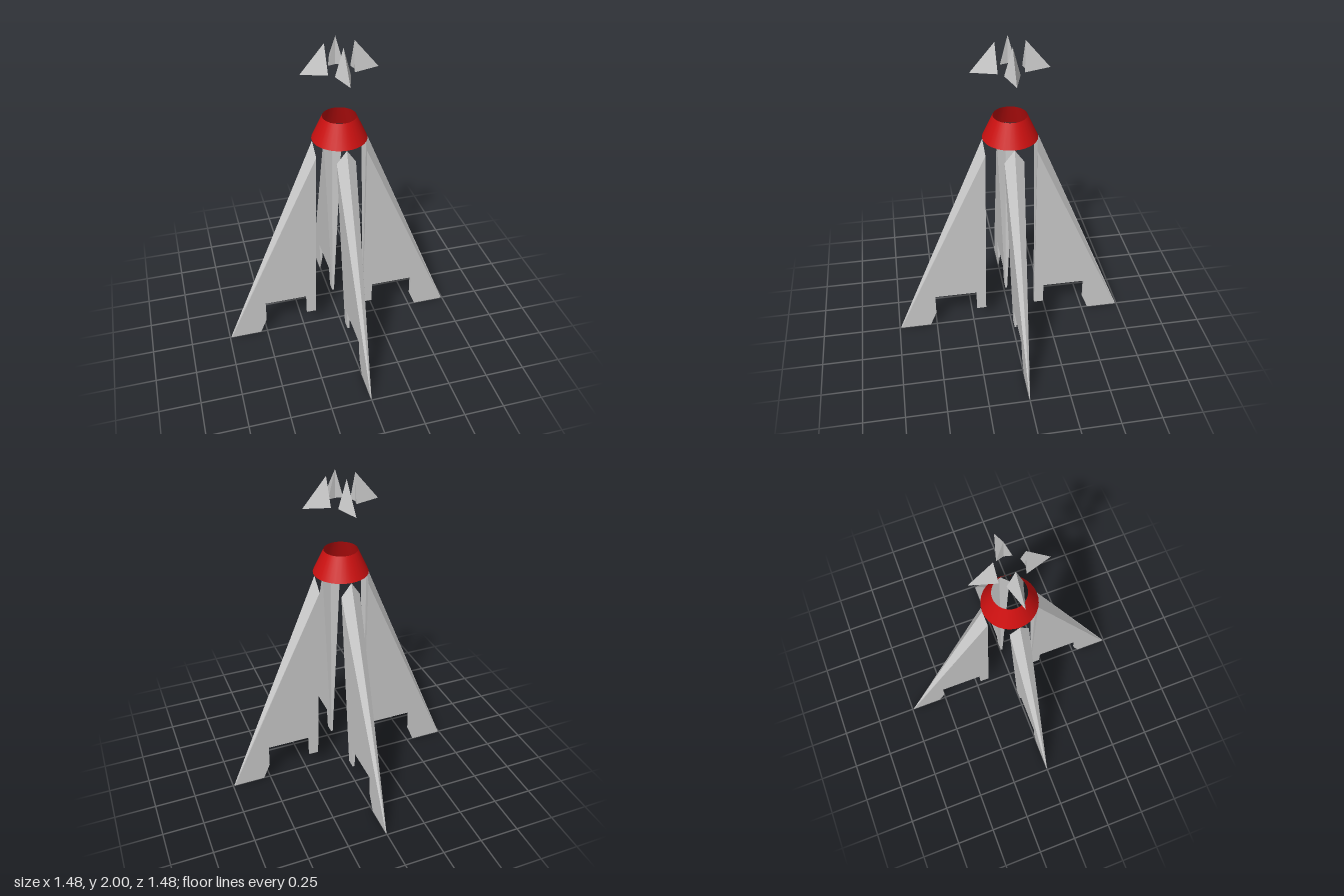
import * as THREE from 'three';

const grey = new THREE.MeshStandardMaterial({ color: 0xcccccc, flatShading: true });
const red = new THREE.MeshStandardMaterial({ color: 0xcc1010, side: THREE.DoubleSide });

// Half thickness of a fin at height y
const halfWidth = (y) => 0.002 + 0.0414 * y;

// Fin outline in radius and height; the first and last two points get a centre ridge
const INNER_TOP = [0.153, 1.33];
const OUTER_TIP = [0.737, 0];
const INNER_FOOT = [0.164, 0.105];
const finOutline = [
  INNER_TOP, INNER_FOOT, [0.225, 0.105], [0.225, 0.25],
  [0.5, 0.25], [0.5, 0.105], [0.542, 0], OUTER_TIP,
];

function finGeometry() {
  const shape = new THREE.Shape(finOutline.map(([x, y]) => new THREE.Vector2(x, y)));
  const geo = new THREE.ExtrudeGeometry(shape, { depth: 2, steps: 2, bevelEnabled: false });
  geo.translate(0, 0, -1);
  const p = geo.attributes.position;
  const at = (i, [x, y]) => Math.hypot(p.getX(i) - x, p.getY(i) - y) < 1e-4;
  for (let i = 0; i < p.count; i++) {
    const side = Math.round(p.getZ(i));
    const w = halfWidth(p.getY(i));
    // the middle layer forms the sharp leading ridge and the hollow inner edge
    if (side === 0 && at(i, INNER_TOP)) p.setXY(i, 0.163, 1.415);
    else if (side === 0 && at(i, OUTER_TIP)) p.setXY(i, 0.742, 0.005);
    p.setZ(i, side * w);
  }
  geo.computeVertexNormals();
  return geo;
}

// Round panel lying on the tapered side of a fin
function discGeometry() {
  const geo = new THREE.CircleGeometry(0.12, 40);
  geo.rotateY(Math.PI);
  geo.translate(0.35, 0.39, 0);
  const p = geo.attributes.position;
  for (let i = 0; i < p.count; i++) p.setZ(i, -halfWidth(p.getY(i)) - 0.0015);
  geo.computeVertexNormals();
  return geo;
}

// Small pointed fin: apex, outer tip, two inner corners and the inner centre
function noseFinGeometry() {
  const geo = new THREE.BufferGeometry();
  geo.setAttribute('position', new THREE.Float32BufferAttribute([
    0.085, 2, 0,
    0.225, 1.832, 0,
    0.075, 1.832, 0.045,
    0.075, 1.832, -0.045,
    0.087, 1.832, 0,
  ], 3));
  geo.setIndex([0, 2, 1, 0, 1, 3, 0, 4, 2, 0, 3, 4, 1, 2, 4, 1, 4, 3]);
  const flat = geo.toNonIndexed();
  flat.computeVertexNormals();
  return flat;
}

export function createModel() {
  const model = new THREE.Group();
  const add = (parent, name, geo, mat) => {
    const mesh = new THREE.Mesh(geo, mat);
    mesh.name = name;
    parent.add(mesh);
    return mesh;
  };

  // Open tapered collar
  const collar = add(model, 'collar', new THREE.CylinderGeometry(0.1, 0.163, 0.14, 32, 1, true), red);
  collar.position.y = 1.485;

  // Four quarters around the vertical axis
  const fin = finGeometry();
  const disc = discGeometry();
  const noseFin = noseFinGeometry();
  for (let i = 0; i < 4; i++) {
    const quarter = new THREE.Group();
    quarter.name = 'finQuarter' + (i + 1);
    quarter.rotation.y = (i * Math.PI) / 2;
    add(quarter, 'tailFin', fin, grey);
    add(quarter, 'roundPanel', disc, grey);
    add(quarter, 'noseFin', noseFin, grey);
    model.add(quarter);
  }
  return model;
}
